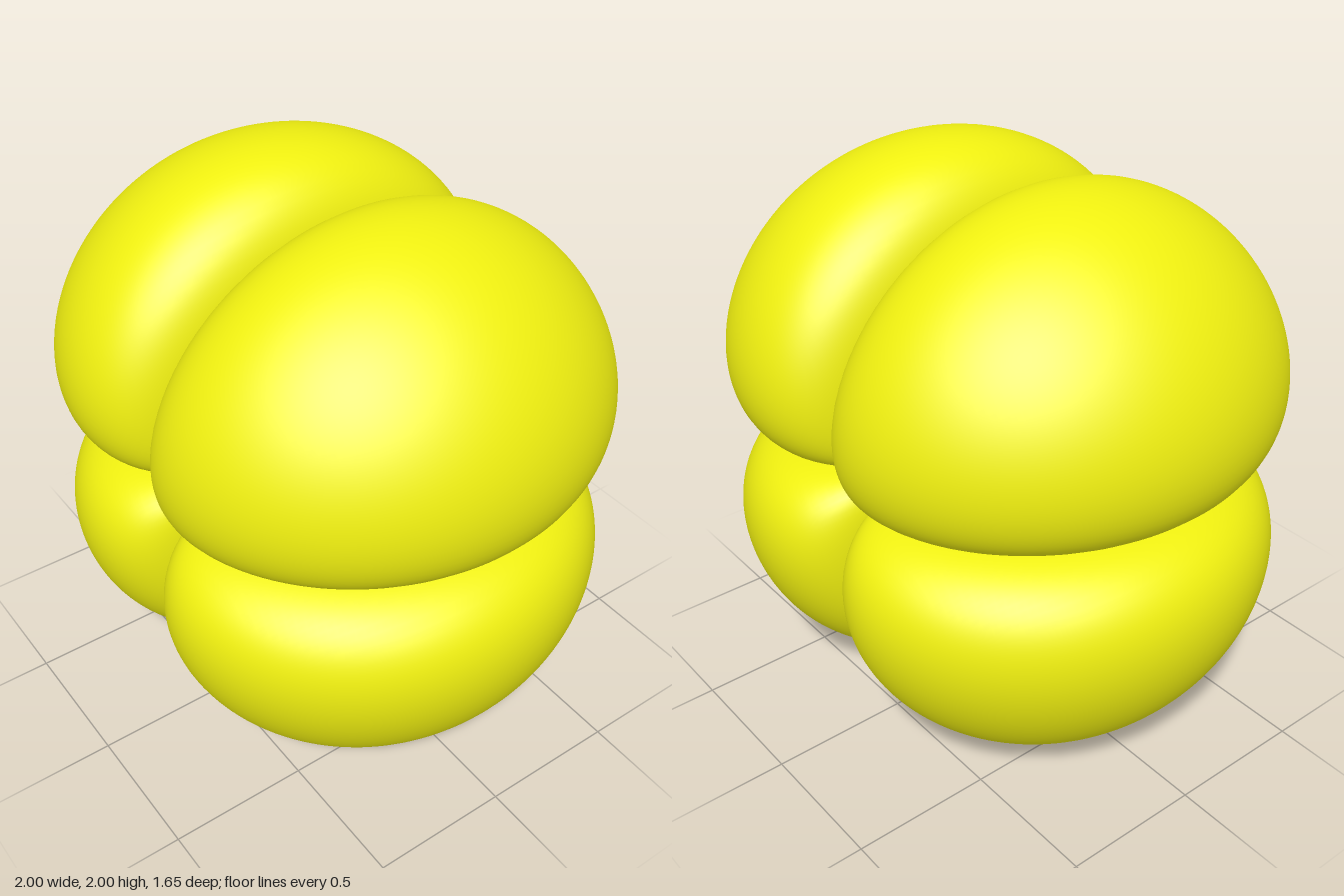
import * as THREE from 'three';

// Each lobe is the convex level surface  ln x + ln y - K r = LEVEL  in the quadrant x, y > 0
const K = 10.25;
const LEVEL = -11.9;
const CENTRE = new THREE.Vector3(0.35, 0.35, 0);

function isInside(p) {
  return p.x > 0 && p.y > 0 && Math.log(p.x * p.y) - K * p.length() > LEVEL;
}

// Push every vertex of a unit sphere out from the lobe centre until it meets the surface
function lobeGeometry() {
  const geometry = new THREE.SphereGeometry(1, 112, 80).rotateX(Math.PI / 2);
  const pos = geometry.attributes.position;
  const normal = geometry.attributes.normal;
  const dir = new THREE.Vector3();
  const p = new THREE.Vector3();
  for (let i = 0; i < pos.count; i++) {
    dir.fromBufferAttribute(pos, i).normalize();
    let near = 0, far = 2;
    for (let step = 0; step < 40; step++) {
      const mid = (near + far) / 2;
      p.copy(CENTRE).addScaledVector(dir, mid);
      if (isInside(p)) near = mid; else far = mid;
    }
    p.copy(CENTRE).addScaledVector(dir, near);
    pos.setXYZ(i, p.x, p.y, p.z);
    // Smooth normal from the gradient of the level function
    const r = p.length();
    dir.copy(p).multiplyScalar(K / r);
    dir.x -= 1 / p.x;
    dir.y -= 1 / p.y;
    dir.normalize();
    normal.setXYZ(i, dir.x, dir.y, dir.z);
  }
  return geometry;
}

export function createModel() {
  const model = new THREE.Group();
  model.name = 'fourLobedCluster';
  const geometry = lobeGeometry();
  const material = new THREE.MeshStandardMaterial({ color: 0xf0f010 });

  // Four equal lobes, a quarter turn apart about the z axis
  ['upperLeftLobe', 'upperRightLobe', 'lowerRightLobe', 'lowerLeftLobe'].forEach((name, i) => {
    const lobe = new THREE.Mesh(geometry, material);
    lobe.name = name;
    lobe.rotation.z = i * Math.PI / 2;
    lobe.position.y = 1;
    model.add(lobe);
  });
  return model;
}
